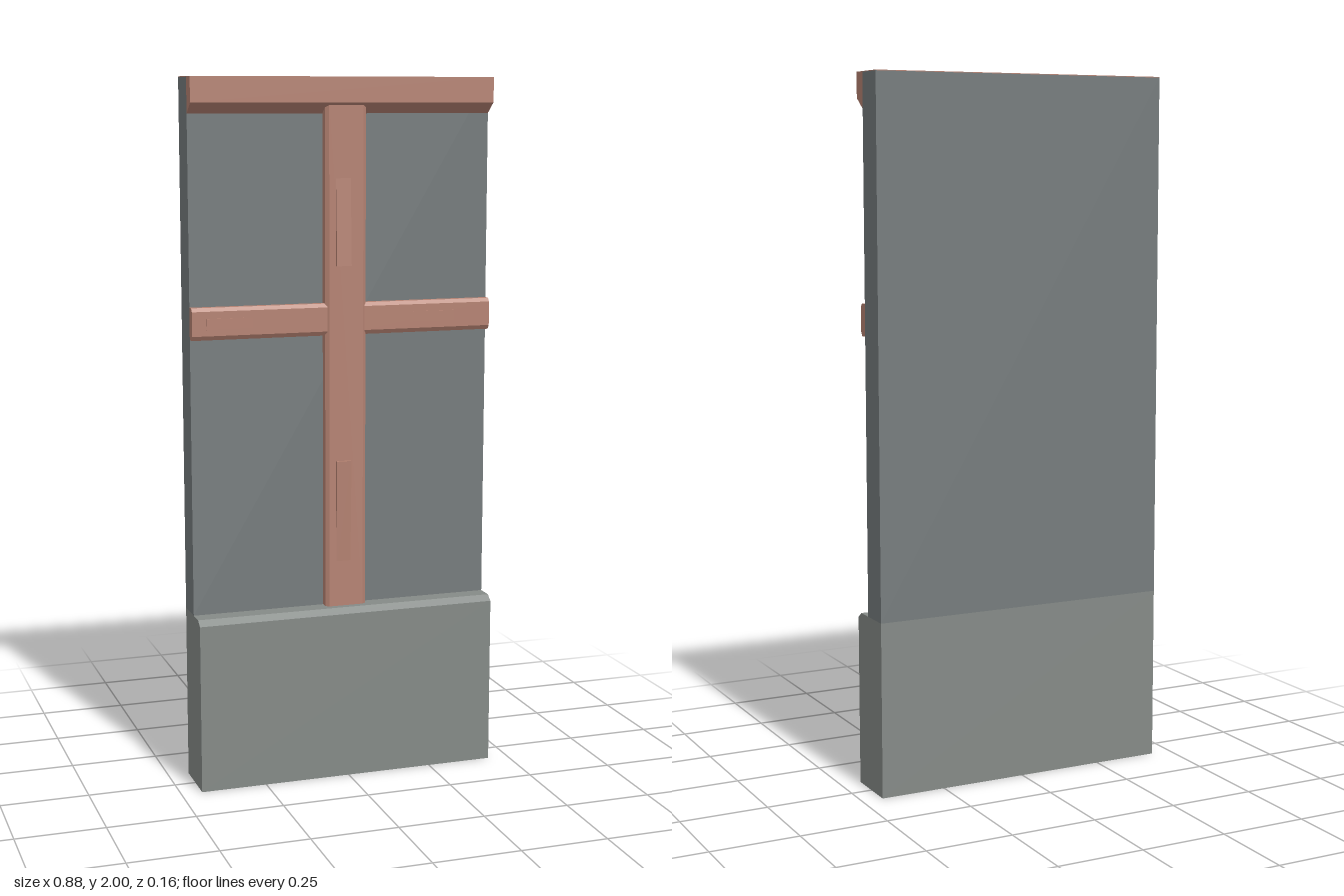
import * as THREE from 'three';

const stone = new THREE.MeshStandardMaterial({ color: 0x858a87, flatShading: true });
const plaster = new THREE.MeshStandardMaterial({ color: 0x757b7c, flatShading: true });
const wood = new THREE.MeshStandardMaterial({ color: 0xb58272, flatShading: true });

const extrude = (pts, depth) => new THREE.ExtrudeGeometry(
  new THREE.Shape(pts.map(([a, b]) => new THREE.Vector2(a, b))),
  { depth, bevelEnabled: false }
);

function named(geometry, material, name) {
  const mesh = new THREE.Mesh(geometry, material);
  mesh.name = name;
  return mesh;
}

// Prism running along x, from a [z, y] profile
function alongX(name, material, profile, x0, x1) {
  const g = extrude(profile, x1 - x0).rotateY(-Math.PI / 2).translate(x1, 0, 0);
  return named(g, material, name);
}

// Prism running along y, from an [x, z] profile
function alongY(name, material, profile, y0, y1) {
  const g = extrude(profile.map(([x, z]) => [x, -z]), y1 - y0)
    .rotateX(-Math.PI / 2).translate(0, y0, 0);
  return named(g, material, name);
}

export function createModel() {
  const group = new THREE.Group();
  const W = 0.44, back = -0.08, face = 0.01, front = 0.04;

  // Stone plinth with a chamfered front edge
  group.add(alongX('plinth', stone,
    [[back, 0], [0.08, 0], [0.08, 0.485], [0.06, 0.5], [back, 0.5]], -W, W));

  // Flat wall panel
  group.add(alongX('wallPanel', plaster,
    [[back, 0.5], [face, 0.5], [face, 1.998], [back, 1.998]], -W, W));

  // Top beam, sloped underneath, with a thin cap over the wall
  group.add(alongX('topBeam', wood,
    [[face, 1.9], [0.05, 1.93], [0.05, 2], [back, 2], [back, 1.998], [face, 1.998]], -W, W));

  // Upright post with bevelled front edges
  group.add(alongY('post', wood,
    [[-0.055, face], [-0.055, 0.032], [-0.045, front], [0.055, front], [0.065, 0.032], [0.065, face]],
    0.495, 1.93));

  // Cross rails either side of the post
  const rail = [[face, 1.285], [0.03, 1.285], [0.038, 1.297], [0.038, 1.365], [0.03, 1.375], [face, 1.375]];
  group.add(alongX('rightRail', wood, rail, -W, -0.05));
  group.add(alongX('leftRail', wood, rail, 0.06, W));

  // Shallow raised splinters on the timber
  for (const [name, step, tip] of [['lowerPostSplinter', 0.925, 0.6], ['upperPostSplinter', 1.48, 1.75]]) {
    group.add(alongX(name, wood, [[0.036, step], [0.049, step], [0.039, tip], [0.036, tip]], -0.025, 0.018));
  }
  for (const [name, step, tip] of [['rightRailSplinter', -0.4, -0.24], ['leftRailSplinter', 0.33, 0.17]]) {
    group.add(alongY(name, wood, [[step, 0.035], [step, 0.043], [tip, 0.037], [tip, 0.035]], 1.315, 1.345));
  }
  return group;
}
